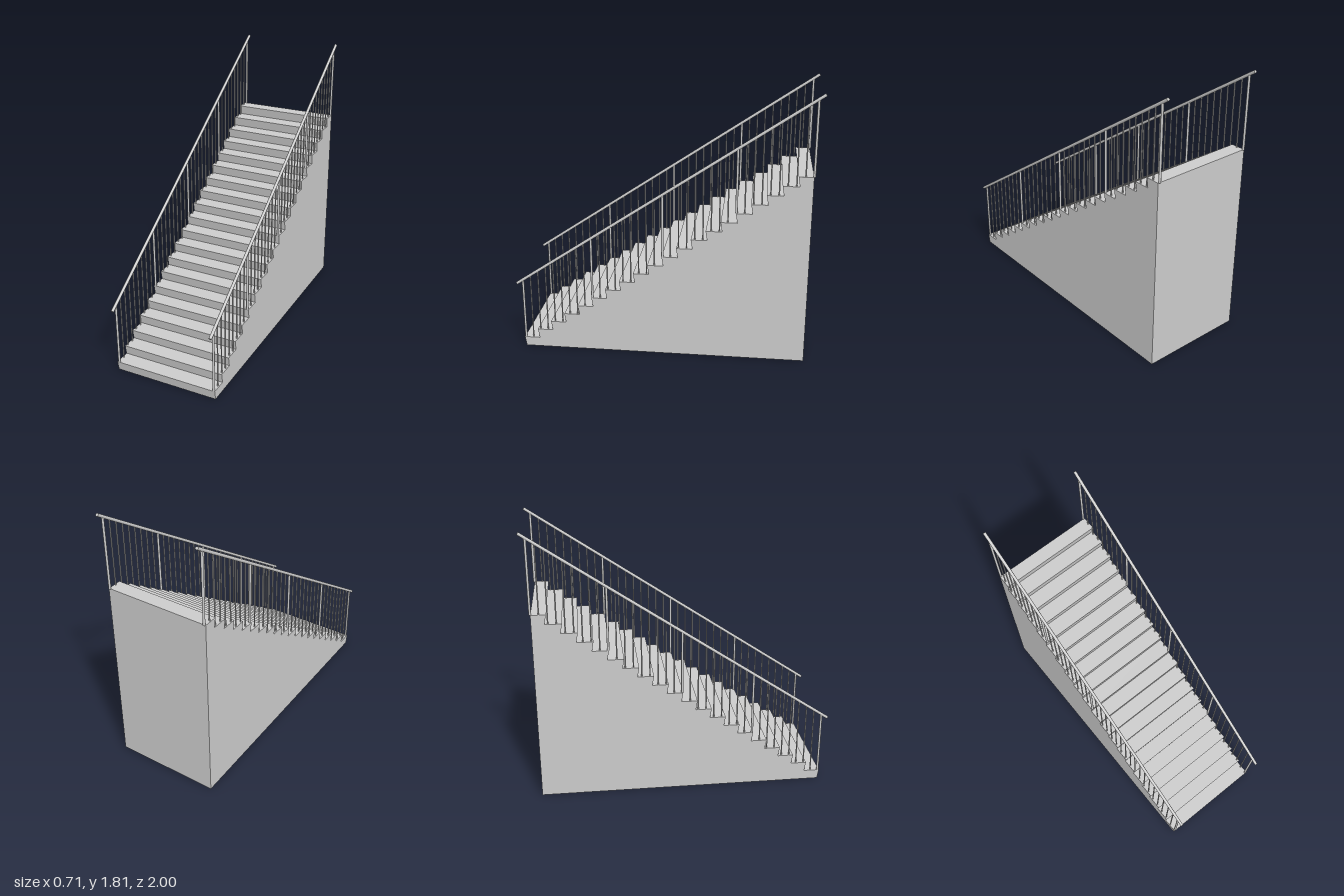
import * as THREE from 'three';

const STEPS = 20, RISE = 0.0643, RUN = 0.0955;
const FRONT = 0.96, BACK = -0.95, HALF_WIDTH = 0.356, RAIL_X = 0.346;
const NOSING = 0.011;
const SLOPE = RISE / RUN;

const material = new THREE.MeshStandardMaterial({ color: 0xcccccc });

const railY = (z) => 1.133 - SLOPE * z;
const treadY = (z) => {
  const i = Math.floor((FRONT - z) / RUN);
  return RISE * (1 + THREE.MathUtils.clamp(i, 0, STEPS - 1));
};

function add(parent, name, geometry) {
  const mesh = new THREE.Mesh(geometry, material);
  mesh.name = name;
  parent.add(mesh);
  return mesh;
}

// Solid stair block: stepped side profile with risers leaning back under each nosing
function stairGeometry() {
  const shape = new THREE.Shape();
  shape.moveTo(BACK, 0);
  for (let i = 0; i < STEPS; i++) {
    const z = FRONT - i * RUN;
    shape.lineTo(z - NOSING, i * RISE);
    shape.lineTo(z, (i + 1) * RISE);
  }
  shape.lineTo(BACK, STEPS * RISE);
  shape.closePath();
  const geometry = new THREE.ExtrudeGeometry(shape, { depth: HALF_WIDTH * 2, bevelEnabled: false });
  return geometry.rotateY(-Math.PI / 2).translate(HALF_WIDTH, 0, 0);
}

// Upright from the tread below to the middle of the handrail
function addUpright(parent, name, z, radius) {
  const y0 = treadY(z), y1 = railY(z);
  const mesh = add(parent, name, new THREE.CylinderGeometry(radius, radius, y1 - y0, 10));
  mesh.position.set(0, (y0 + y1) / 2, z);
}

function createRailing(name) {
  const railing = new THREE.Group();
  railing.name = name;

  // Sloping round handrail
  const endZ = 0.994;
  const rail = add(railing, 'handrail',
    new THREE.CylinderGeometry(0.01, 0.01, 2 * endZ * Math.hypot(1, SLOPE), 12));
  rail.position.y = railY(0);
  rail.rotation.x = -Math.atan2(1, SLOPE);

  // Five posts with eight thin balusters in each bay
  const bays = 4, perBay = 9, endPost = 0.952;
  for (let i = 0; i <= bays * perBay; i++) {
    const z = endPost - (2 * endPost * i) / (bays * perBay);
    if (i % perBay === 0) addUpright(railing, 'post', z, 0.008);
    else addUpright(railing, 'baluster', z, 0.0045);
  }
  return railing;
}

export function createModel() {
  const model = new THREE.Group();
  model.name = 'staircase';
  add(model, 'steps', stairGeometry());
  for (const side of [1, -1]) {
    const railing = createRailing(side > 0 ? 'leftRailing' : 'rightRailing');
    railing.position.x = side * RAIL_X;
    model.add(railing);
  }
  return model;
}
